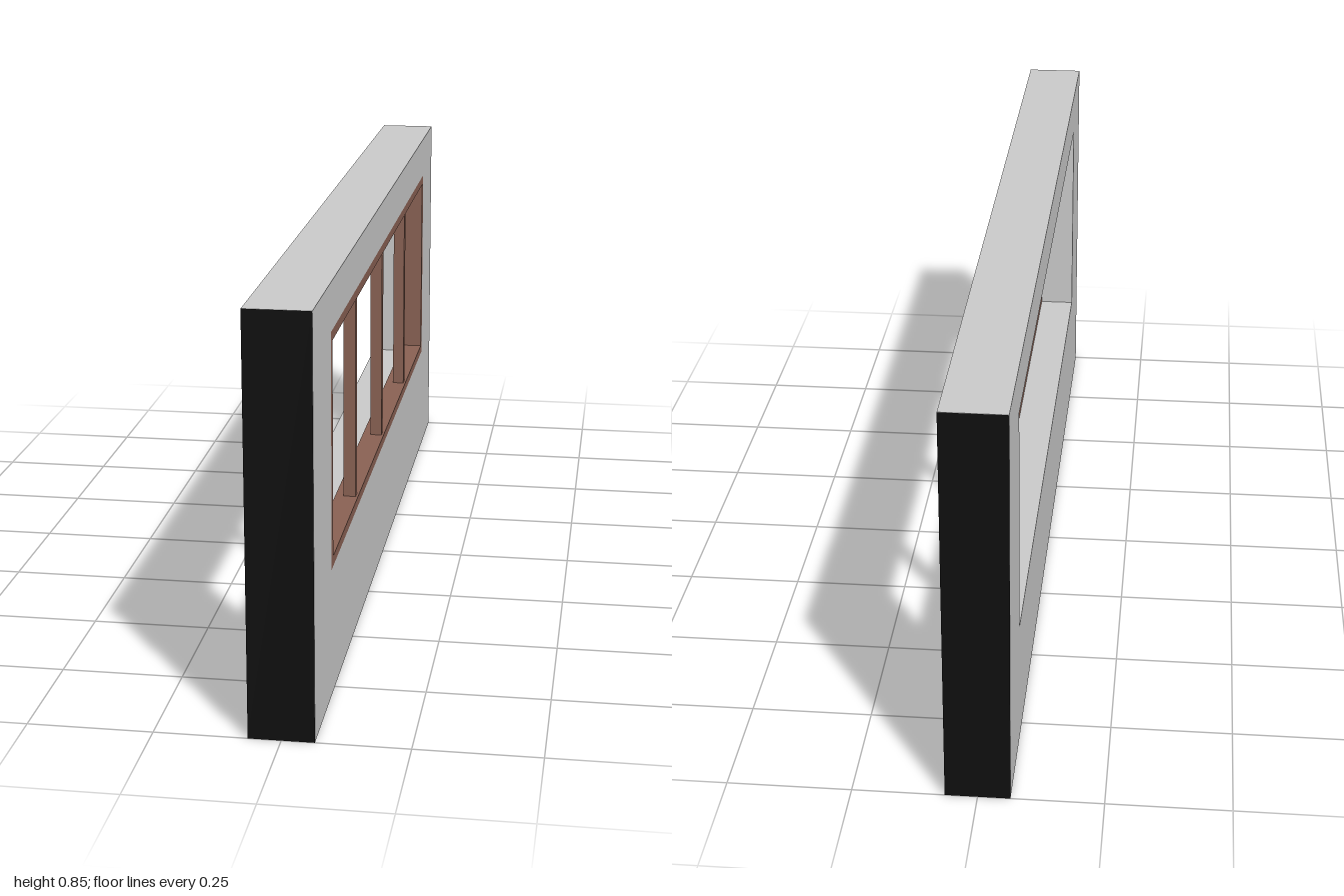
import * as THREE from 'three';

const HALF_T = 0.065, HEIGHT = 0.847;              // wall half thickness and height
const Z0 = -0.801, Z1 = 0.786, Y0 = 0.267, Y1 = 0.75; // window opening
const BAR = 0.021;                                  // face width of the frame bars

// Rectangle as a shape or hole; shape x becomes model z
function rect(Type, z0, z1, y0, y1) {
  const p = new Type();
  p.moveTo(z0, y0);
  p.lineTo(z1, y0);
  p.lineTo(z1, y1);
  p.lineTo(z0, y1);
  p.closePath();
  return p;
}

// Rectangular panel with a rectangular hole, from x0 to x1 in thickness
function panelWithHole(outer, inner, x0, x1) {
  const shape = rect(THREE.Shape, ...outer);
  shape.holes.push(rect(THREE.Path, ...inner));
  const geo = new THREE.ExtrudeGeometry(shape, { depth: x1 - x0, bevelEnabled: false });
  return geo.rotateY(-Math.PI / 2).translate(x1, 0, 0);
}

export function createModel() {
  const model = new THREE.Group();
  model.name = 'wallWithWindow';
  const plaster = new THREE.MeshStandardMaterial({ color: 0xcccccc });
  const cutFace = new THREE.MeshStandardMaterial({ color: 0x0f0f0f });
  const wood = new THREE.MeshStandardMaterial({ color: 0x8a6254 });

  const add = (parent, name, geo, mat) => {
    const mesh = new THREE.Mesh(geo, mat);
    mesh.name = name;
    parent.add(mesh);
    return mesh;
  };

  // Wall with its opening
  add(model, 'wall',
    panelWithHole([-0.999, 0.999, 0, HEIGHT], [Z0, Z1, Y0, Y1], -HALF_T, HALF_T), plaster);

  // Dark faces on both wall ends
  for (const side of [1, -1]) {
    const end = add(model, side > 0 ? 'frontEnd' : 'backEnd',
      new THREE.PlaneGeometry(HALF_T * 2, HEIGHT), cutFace);
    end.position.set(0, HEIGHT / 2, side);
    if (side < 0) end.rotation.y = Math.PI;
  }

  // Window frame, set flush with the +x face
  const windowGroup = new THREE.Group();
  windowGroup.name = 'window';
  model.add(windowGroup);
  add(windowGroup, 'windowFrame',
    panelWithHole([Z0, Z1, Y0, Y1], [Z0 + BAR, Z1 - BAR, Y0 + BAR, Y1 - BAR], 0.016, HALF_T), wood);

  // Three slimmer upright mullions
  for (const z of [0.409, -0.014, -0.439]) {
    const mullion = add(windowGroup, 'mullion',
      new THREE.BoxGeometry(0.026, Y1 - Y0 - 2 * BAR, 0.023), wood);
    mullion.position.set(0.047, (Y0 + Y1) / 2, z);
  }

  return model;
}
